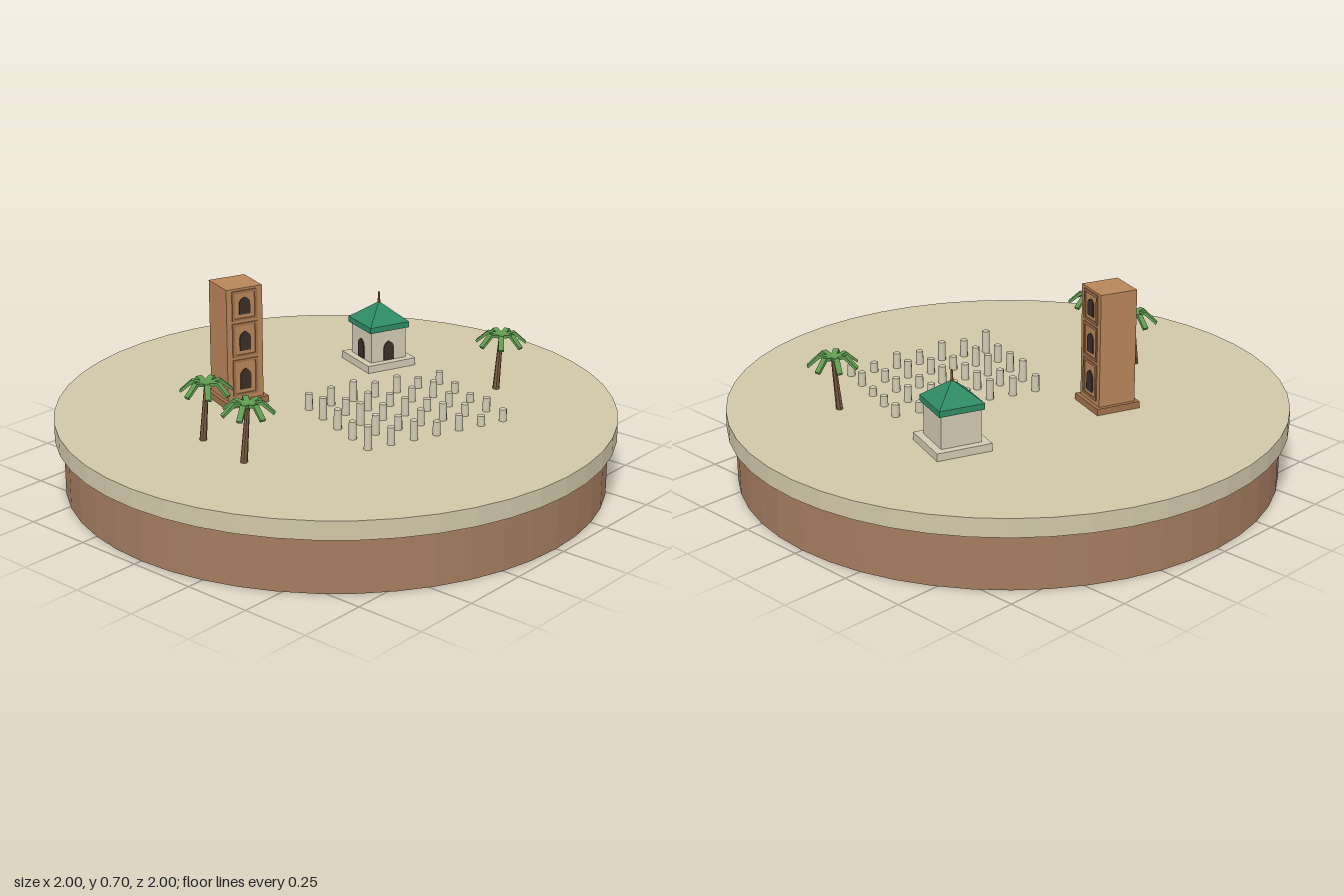
import * as THREE from 'three';

const mat = (name, color, flat = true) =>
  Object.assign(new THREE.MeshStandardMaterial({ color, flatShading: flat }), { name });

export function createModel() {
  const sand = mat('sand', 0xd0c6a8), soil = mat('soil', 0xa47c60);
  const brick = mat('brick', 0xb8855a), darkBrick = mat('dark brick', 0xa0714c);
  const opening = mat('opening', 0x3b2f28), stone = mat('pale stone', 0xd2cab2, false);
  const roofGreen = mat('roof green', 0x2f8a63), copper = mat('copper', 0xa8683f);
  const bark = mat('bark', 0x7a5a42), leafGreen = mat('leaf green', 0x5f9a50);

  const GROUND = 0.267, TURN = -Math.PI / 9;
  const model = new THREE.Group();
  model.name = 'islandRuins';

  const add = (parent, name, geometry, material, x = 0, y = 0, z = 0) => {
    const mesh = new THREE.Mesh(geometry, material);
    mesh.name = name;
    mesh.position.set(x, y, z);
    parent.add(mesh);
    return mesh;
  };
  const group = (parent, name, x, y, z, turn = 0) => {
    const g = new THREE.Group();
    g.name = name;
    g.position.set(x, y, z);
    g.rotation.y = turn;
    parent.add(g);
    return g;
  };
  // Box standing on the given height
  const block = (parent, name, w, h, d, material, x = 0, y = 0, z = 0) =>
    add(parent, name, new THREE.BoxGeometry(w, h, d), material, x, y + h / 2, z);

  // Round island: soil drum and overhanging sandy slab
  add(model, 'soilBase', new THREE.CylinderGeometry(0.97, 0.97, 0.2, 48), soil, 0, 0.1, 0);
  add(model, 'sandSlab', new THREE.CylinderGeometry(1, 1, GROUND - 0.2, 48), sand, 0, (GROUND + 0.2) / 2, 0);

  // Pointed arch window plate
  const archPlate = (w, h) => {
    const s = new THREE.Shape();
    s.moveTo(-w / 2, 0);
    s.lineTo(w / 2, 0);
    s.lineTo(w / 2, h * 0.65);
    s.quadraticCurveTo(w / 2, h * 0.88, 0, h);
    s.quadraticCurveTo(-w / 2, h * 0.88, -w / 2, h * 0.65);
    return new THREE.ExtrudeGeometry(s, { depth: 0.004, bevelEnabled: false, curveSegments: 4 });
  };

  // Square tower with two decorated faces
  const tower = group(model, 'tower', -0.19, GROUND, -0.305, TURN);
  const TW = 0.14, TH = 0.438;
  block(tower, 'towerPlinth', 0.168, 0.024, 0.168, darkBrick);
  block(tower, 'towerBody', TW, TH, TW, brick);
  [0, Math.PI / 2].forEach((turn) => {
    const face = group(tower, 'towerFace', 0, 0, 0, turn);
    [0.04, 0.185, 0.32].forEach((y, i) => {
      const h = [0.125, 0.115, 0.1][i];
      for (const side of [-1, 1]) {
        block(face, 'windowPilaster', 0.01, h, 0.008, darkBrick, side * 0.044, y, TW / 2);
      }
      block(face, 'windowLintel', 0.098, 0.01, 0.008, darkBrick, 0, y + h, TW / 2);
      block(face, 'windowSill', 0.098, 0.008, 0.008, darkBrick, 0, y, TW / 2);
      add(face, 'towerWindow', archPlate(0.042, h * 0.62), opening, 0, y + 0.022, TW / 2);
    });
  });

  // Pavilion with pyramid roof
  const pavilion = group(model, 'pavilion', 0.445, GROUND, -0.175, TURN);
  block(pavilion, 'pavilionPlinth', 0.202, 0.028, 0.202, stone);
  block(pavilion, 'pavilionWalls', 0.148, 0.12, 0.148, stone, 0, 0.028);
  block(pavilion, 'roofEave', 0.166, 0.022, 0.166, roofGreen, 0, 0.147);
  const roof = add(pavilion, 'pyramidRoof', new THREE.ConeGeometry(0.083 * Math.SQRT2, 0.07, 4), roofGreen, 0, 0.204, 0);
  roof.rotation.y = Math.PI / 4;
  add(pavilion, 'finial', new THREE.CylinderGeometry(0.003, 0.006, 0.05, 6), copper, 0, 0.251, 0);
  [0, -Math.PI / 2].forEach((turn) => {
    const face = group(pavilion, 'pavilionFace', 0, 0, 0, turn);
    add(face, 'doorway', archPlate(0.042, 0.075), opening, 0, 0.03, 0.074);
  });

  // Rotated grid of broken columns, taller toward one side
  const columns = group(model, 'columns', -0.1, GROUND, -0.04, TURN);
  for (let row = 0; row < 5; row++) {
    for (let i = 0; i < 7; i++) {
      const vary = ((row * 5 + i * 3) % 7) / 7 - 0.5;
      const h = 0.075 - 0.005 * i + 0.028 * vary;
      add(columns, 'column', new THREE.CylinderGeometry(0.0135, 0.0145, h, 10), stone,
        i * 0.0905, h / 2, row * 0.1055);
    }
  }

  // Drooping frond cross-section, swept across its width
  const frondShape = new THREE.Shape([
    [0, -0.012], [0.045, 0.002], [0.088, -0.034], [0.092, -0.026], [0.05, 0.013], [0, 0.002],
  ].map(([x, y]) => new THREE.Vector2(x, y)));
  const frond = new THREE.ExtrudeGeometry(frondShape, { depth: 0.02, bevelEnabled: false });
  frond.translate(0, 0, -0.01);

  // Leaning palms
  [[-0.53, -0.12, 0.4], [-0.58, 0.12, 0], [0.525, 0.335, 0.2]].forEach(([x, z, turn]) => {
    const palm = group(model, 'palm', x, GROUND, z);
    const trunk = add(palm, 'palmTrunk', new THREE.CylinderGeometry(0.008, 0.013, 0.195, 7), bark, -0.011, 0.096, 0);
    trunk.rotation.z = -0.11;
    const crown = group(palm, 'palmCrown', 0, 0.2, 0, turn);
    for (let i = 0; i < 7; i++) {
      add(crown, 'frond', frond, leafGreen).rotation.y = (i / 7) * Math.PI * 2;
    }
  });

  return model;
}
